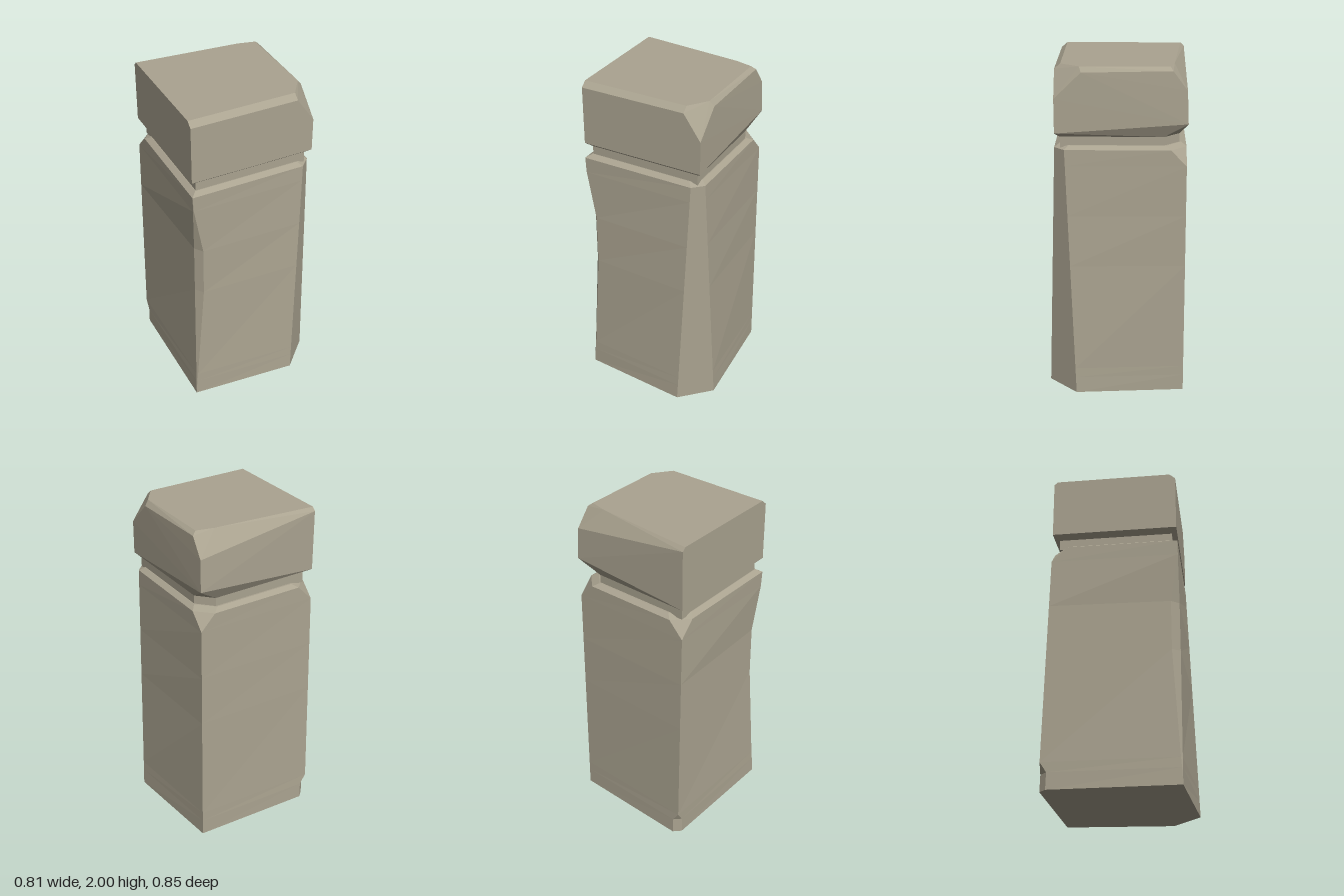
import * as THREE from 'three';
import { ConvexGeometry } from 'three/addons/geometries/ConvexGeometry.js';

const stone = new THREE.MeshStandardMaterial({ color: 0xaaa390, flatShading: true });

// Stacks cross-section rings (arrays of Vector3, front-left to front-right to back) into a closed solid
function loft(rings) {
  const pts = [];
  const tri = (...t) => t.forEach(v => pts.push(v.x, v.y, v.z));
  const n = rings[0].length;
  for (let i = 0; i + 1 < rings.length; i++) {
    for (let j = 0; j < n; j++) {
      const k = (j + 1) % n;
      const [lo, hi] = [rings[i], rings[i + 1]];
      tri(lo[j], lo[k], hi[k]);
      tri(lo[j], hi[k], hi[j]);
    }
  }
  const [base, top] = [rings[0], rings[rings.length - 1]];
  for (let j = 1; j + 1 < n; j++) {
    tri(base[0], base[j + 1], base[j]);
    tri(top[0], top[j], top[j + 1]);
  }
  const g = new THREE.BufferGeometry();
  g.setAttribute('position', new THREE.Float32BufferAttribute(pts, 3));
  g.computeVertexNormals();
  return g;
}

const hull = list => new ConvexGeometry(list.map(p => new THREE.Vector3(...p)));

// Outline of the shaft: two points per corner, [x, z] at the foot and at the shoulder
const foot = [[-0.41, 0.37], [-0.41, 0.37], [0.235, 0.425], [0.405, 0.255],
  [0.355, -0.395], [0.355, -0.395], [-0.41, -0.425], [-0.41, -0.425]];
const shoulder = [[-0.405, 0.37], [-0.405, 0.37], [0.29, 0.37], [0.35, 0.31],
  [0.35, -0.39], [0.35, -0.39], [-0.405, -0.39], [-0.405, -0.39]];

// One shaft ring with its corner chips: fl = front left, br = back right, bl = back left
function shaftRing([y, scale, fl, br, bl]) {
  const t = Math.min(y / 1.525, 1);
  const chip = [[fl * 0.4, -fl * 0.8], [fl, 0], [0, 0], [0, 0],
    [0, br], [-br, 0], [bl, 0], [0, bl]];
  return foot.map(([x, z], i) => {
    const px = THREE.MathUtils.lerp(x, shoulder[i][0], t) + chip[i][0];
    const pz = THREE.MathUtils.lerp(z, shoulder[i][1], t) + chip[i][1];
    return new THREE.Vector3((px + 0.027) * scale - 0.027, y, (pz + 0.01) * scale - 0.01);
  });
}

export function createModel() {
  const group = new THREE.Group();
  const add = (name, geometry) => {
    const mesh = new THREE.Mesh(geometry, stone);
    mesh.name = name;
    group.add(mesh);
  };

  // Tapered shaft with a worn front-left edge and chipped back corners
  add('shaft', loft([
    [0, 1, 0, 0, 0.04],
    [0.1, 1, 0.006, 0, 0.04],
    [0.16, 1, 0.012, 0, 0],
    [0.82, 1, 0.06, 0, 0],
    [1.13, 1, 0.06, 0, 0],
    [1.43, 1, 0.006, 0, 0],
    [1.525, 1, 0, 0.09, 0.09],
    [1.545, 0.92, 0, 0.1, 0.1],
  ].map(shaftRing)));

  // Recessed neck with one cut corner
  const neck = [[-0.37, 0.335], [0.315, 0.335], [0.315, -0.26], [0.23, -0.35], [-0.37, -0.35]];
  const neckRing = y => neck.map(([x, z]) => new THREE.Vector3(x, y, z));
  add('neck', loft([neckRing(1.53), neckRing(1.61)]));

  // Cap block: underside, lower rim, upper rim and top face
  add('cap', hull([
    ...neck.map(([x, z]) => [x, 1.595, z]),
    [-0.405, 1.62, 0.365], [0.345, 1.62, 0.365], [0.355, 1.68, -0.395], [-0.405, 1.62, -0.39],
    [-0.405, 1.97, 0.365], [0.24, 1.97, 0.365], [0.345, 1.82, 0.365], [0.345, 1.97, 0.21],
    [0.345, 1.98, -0.305], [0.35, 1.87, -0.387], [-0.405, 1.98, -0.39],
    [-0.405, 2, 0.33], [0.24, 2, 0.33], [0.32, 2, 0.22], [0.32, 2, -0.29],
    [0.215, 2, -0.315], [-0.405, 2, -0.37],
  ]));

  return group;
}
